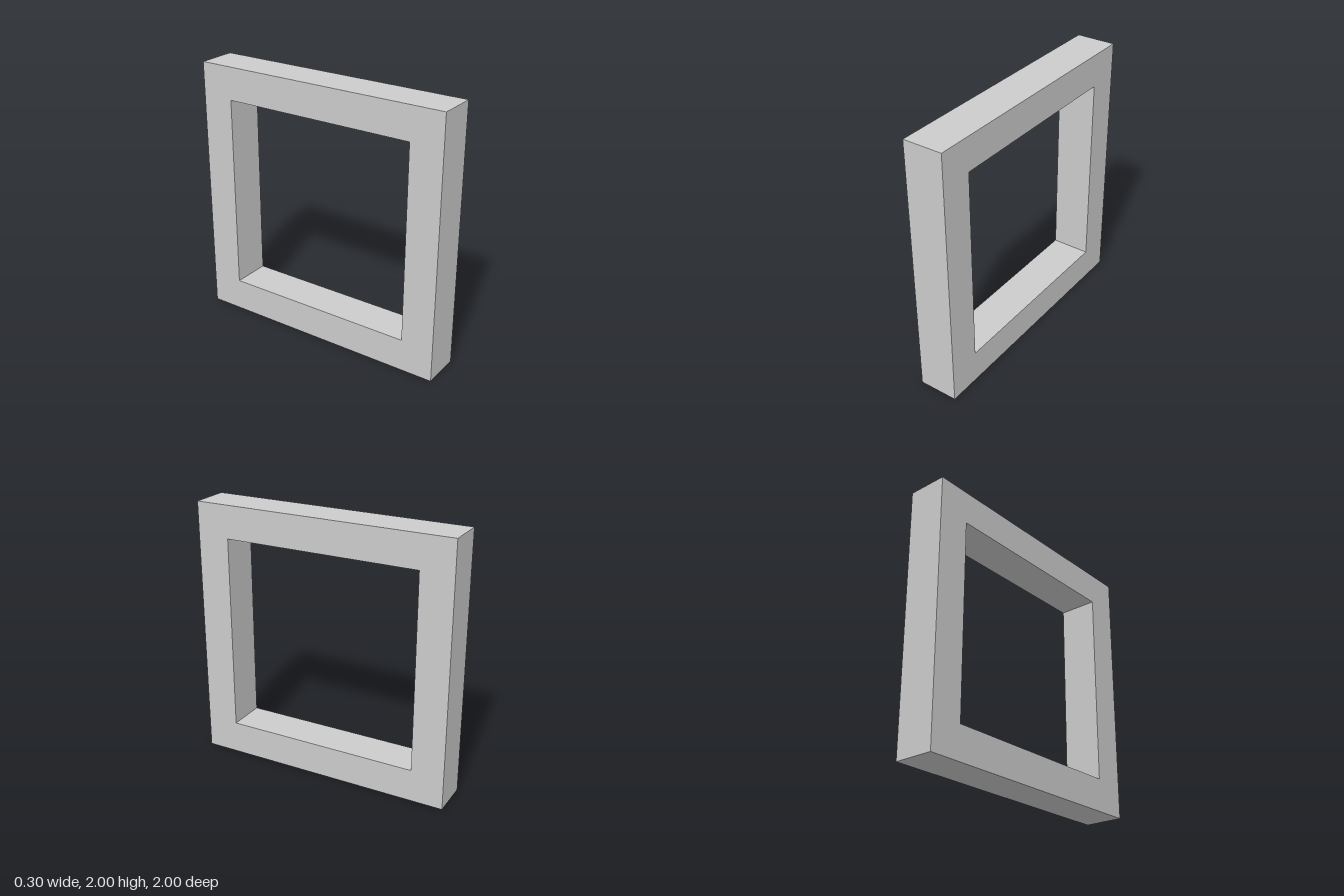
import * as THREE from 'three';

const SIZE = 2;      // outer height and depth
const BORDER = 0.25; // width of the frame members
const DEPTH = 0.3;   // thickness along x

// Closed square outline centred on the origin
function square(PathType, half) {
  return new PathType([
    new THREE.Vector2(-half, -half),
    new THREE.Vector2(half, -half),
    new THREE.Vector2(half, half),
    new THREE.Vector2(-half, half),
  ]);
}

export function createModel() {
  const group = new THREE.Group();
  group.name = 'squareFrame';

  // Square frame with a square opening, extruded and turned to face sideways
  const outline = square(THREE.Shape, SIZE / 2);
  outline.holes.push(square(THREE.Path, SIZE / 2 - BORDER));
  const geometry = new THREE.ExtrudeGeometry(outline, { depth: DEPTH, bevelEnabled: false });
  geometry.translate(0, 0, -DEPTH / 2);
  geometry.rotateY(Math.PI / 2);
  geometry.translate(0, SIZE / 2, 0);

  const material = new THREE.MeshStandardMaterial({ color: 0xcccccc, flatShading: true });
  const frame = new THREE.Mesh(geometry, material);
  frame.name = 'frame';
  group.add(frame);
  return group;
}
